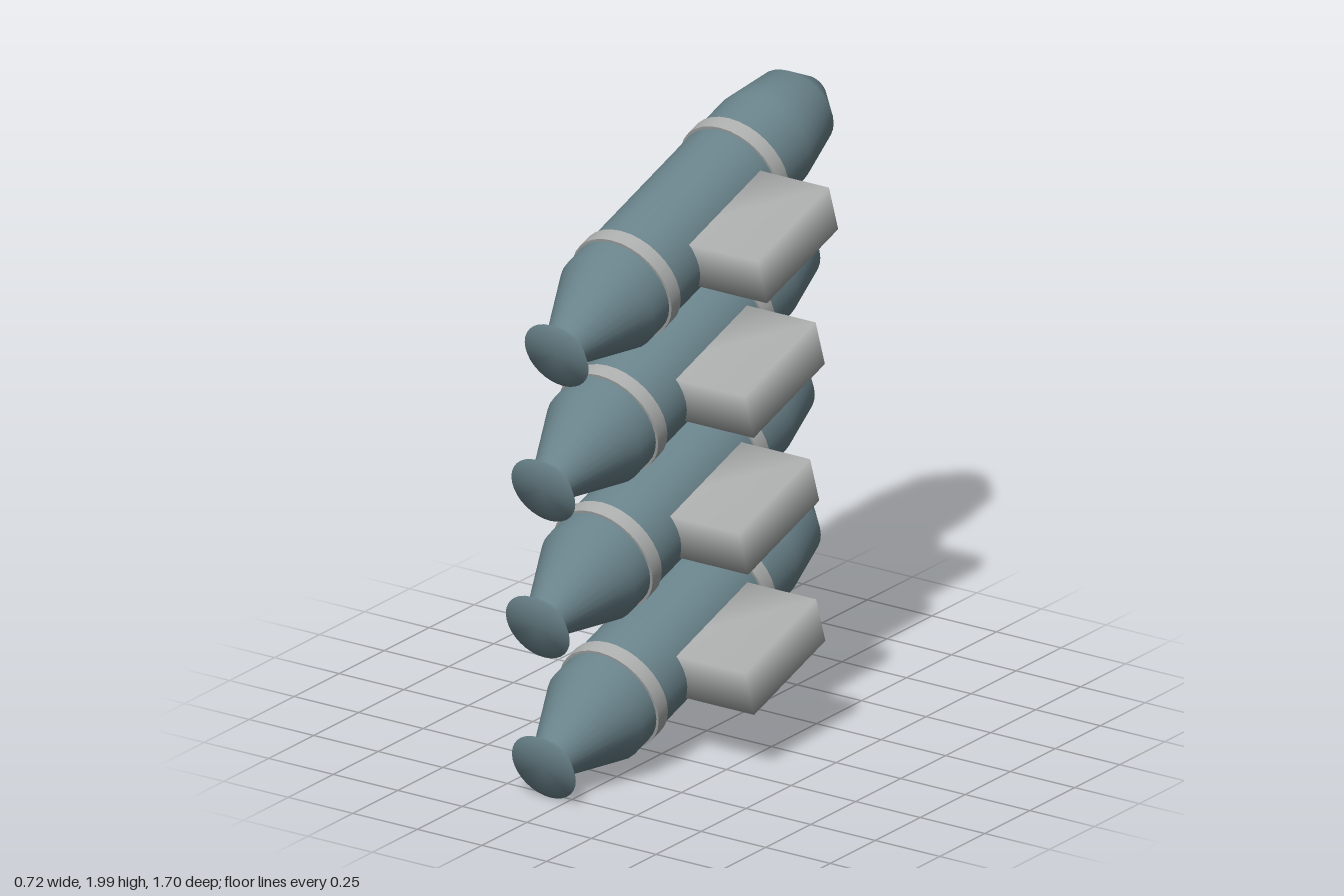
import * as THREE from 'three';
import { mergeVertices } from 'three/addons/utils/BufferGeometryUtils.js';

const shellPaint = new THREE.MeshStandardMaterial({ color: 0x69828a });
shellPaint.name = 'blue grey shell';
const metal = new THREE.MeshStandardMaterial({ color: 0xacaeae });
metal.name = 'light grey metal';

// Profile from flared tail to nose: [radius, distance along the axis]
const PROFILE = [
  [0, 0], [0.121, 0], [0.073, 0.05], [0.179, 0.296],
  [0.179, 1.21], [0.144, 1.396], [0.053, 1.494], [0, 1.502],
];

// Tail centre of each canister, top to bottom: [x, y, z]
const TAILS = [
  [-0.17, 1.425, 0.591],
  [-0.17, 0.99, 0.665],
  [-0.14, 0.555, 0.739],
  [-0.065, 0.118, 0.813],
];

// Box with shared corners, so shading rolls softly over its edges
function softBox(w, h, d) {
  const box = new THREE.BoxGeometry(w, h, d);
  box.deleteAttribute('normal');
  box.deleteAttribute('uv');
  const geometry = mergeVertices(box);
  geometry.computeVertexNormals();
  return geometry;
}

const shellGeometry = new THREE.LatheGeometry(PROFILE.map(([r, y]) => new THREE.Vector2(r, y)), 32);
const bandGeometry = new THREE.CylinderGeometry(0.188, 0.188, 0.054, 32);
const mountGeometry = softBox(0.424, 0.416, 0.165);

function addPart(parent, name, geometry, material, x, y, z) {
  const mesh = new THREE.Mesh(geometry, material);
  mesh.name = name;
  mesh.position.set(x, y, z);
  parent.add(mesh);
}

// One canister, built along +y from its tail
function createCanister() {
  const canister = new THREE.Group();
  canister.name = 'canister';
  addPart(canister, 'shell', shellGeometry, shellPaint, 0, 0, 0);
  addPart(canister, 'tailBand', bandGeometry, metal, 0, 0.408, 0);
  addPart(canister, 'noseBand', bandGeometry, metal, 0, 1.04, 0);
  addPart(canister, 'sideMount', mountGeometry, metal, 0.212, 0.77, 0);
  return canister;
}

export function createModel() {
  const model = new THREE.Group();
  model.name = 'canisterRack';
  for (const [x, y, z] of TAILS) {
    const canister = createCanister();
    canister.position.set(x, y, z);
    // Nose points back and 18 degrees up
    canister.rotation.x = THREE.MathUtils.degToRad(-72);
    model.add(canister);
  }
  return model;
}
